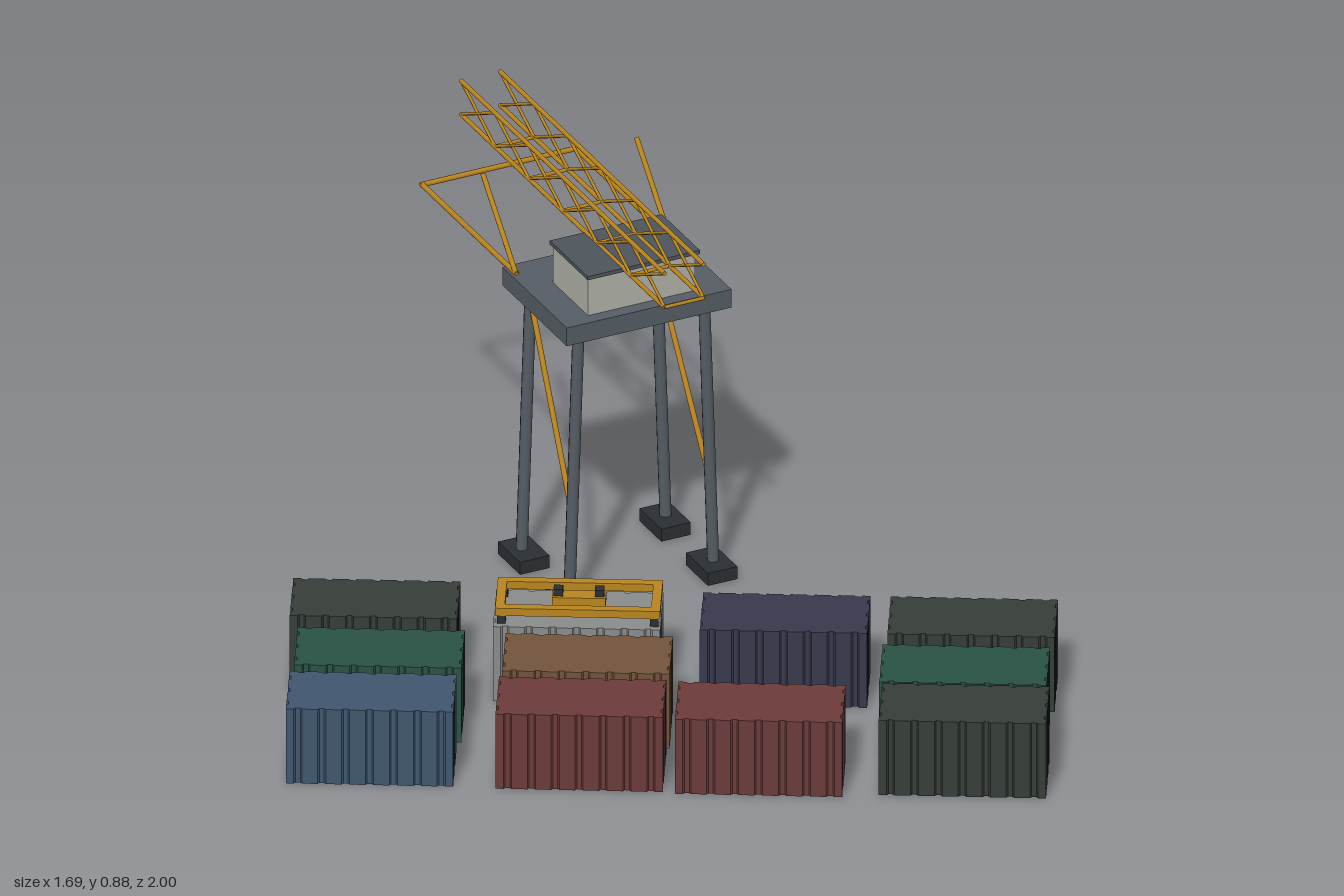
import * as THREE from 'three';

const mat = (c) => new THREE.MeshStandardMaterial({ color: c });
const M = {
  orange: mat(0xb9851f), steel: mat(0x555d64), dark: mat(0x2b2f33),
  cabin: mat(0xb0b2a8), roof: mat(0x4d545b), glass: mat(0x22385c),
};
const TURN = -0.506; // yaw shared by all containers
const CX = 0.222;    // crane centre line

function box(parent, name, size, pos, material) {
  const m = new THREE.Mesh(new THREE.BoxGeometry(...size), material);
  m.position.set(...pos);
  m.name = name;
  parent.add(m);
  return m;
}

// Round bar between two points
function bar(parent, name, a, b, r, material, sides = 8) {
  const p = new THREE.Vector3(...a), q = new THREE.Vector3(...b);
  const d = q.clone().sub(p);
  const m = new THREE.Mesh(new THREE.CylinderGeometry(r, r, d.length(), sides), material);
  m.position.copy(p).add(q).multiplyScalar(0.5);
  m.quaternion.setFromUnitVectors(new THREE.Vector3(0, 1, 0), d.normalize());
  m.name = name;
  parent.add(m);
  return m;
}

// Corrugated outline extruded upward
function containerGeometry() {
  const L = 0.357, W = 0.17, H = 0.18, d = 0.005;
  const pts = [];
  const side = (len, depth, count, angle) => {
    const pitch = len / count, c = Math.cos(angle), s = Math.sin(angle);
    for (let i = 0; i < count; i++) {
      const mid = -len / 2 + (i + 0.5) * pitch;
      for (const [o, inset] of [[-0.17, 0], [-0.1, d], [0.1, d], [0.17, 0]]) {
        const u = mid + o * pitch, v = -depth / 2 + inset;
        pts.push(new THREE.Vector2(u * c - v * s, u * s + v * c));
      }
    }
    const u = len / 2, v = -depth / 2;
    pts.push(new THREE.Vector2(u * c - v * s, u * s + v * c));
  };
  side(L, W, 7, 0);
  side(W, L, 3, Math.PI / 2);
  side(L, W, 7, Math.PI);
  side(W, L, 3, -Math.PI / 2);
  const g = new THREE.ExtrudeGeometry(new THREE.Shape(pts), { depth: H, bevelEnabled: false });
  g.rotateX(-Math.PI / 2);
  return g;
}

function buildContainers() {
  const yard = new THREE.Group();
  yard.name = 'containers';
  const geo = containerGeometry();
  const olive = mat(0x363d37), green = mat(0x2a5245), red = mat(0x6c3b3b);
  const blue = mat(0x40566e), brown = mat(0x72543c), navy = mat(0x383a4d), grey = mat(0x8a8c8c);
  const list = [
    [-0.455, -0.148, olive], [-0.546, 0.055, green], [-0.65, 0.225, blue],
    [-0.09, 0.09, grey], [-0.161, 0.277, brown], [-0.261, 0.446, red],
    [0.071, 0.637, red], [0.298, 0.3, navy], [0.648, 0.494, olive],
    [0.536, 0.68, green], [0.457, 0.836, olive],
  ];
  for (const [x, z, m] of list) {
    const c = new THREE.Mesh(geo, m);
    c.position.set(x, 0, z);
    c.rotation.y = TURN;
    c.name = 'container';
    yard.add(c);
  }
  return yard;
}

// Lifting frame resting on the grey container
function buildSpreader() {
  const s = new THREE.Group();
  s.name = 'spreader';
  const L = 0.352, W = 0.142, t = 0.02;
  for (const k of [-1, 1]) {
    box(s, 'spreaderSideBeam', [L, 0.018, t], [0, 0.209, k * (W - t) / 2], M.orange);
    box(s, 'spreaderEndBeam', [t, 0.018, W - 2 * t], [k * (L - t) / 2, 0.209, 0], M.orange);
    box(s, 'sheaveBlock', [0.02, 0.016, 0.022], [k * 0.044, 0.226, 0], M.dark);
    for (const j of [-1, 1])
      box(s, 'twistLock', [0.018, 0.022, 0.018], [k * 0.163, 0.19, j * 0.06], M.dark);
  }
  box(s, 'headBlock', [0.115, 0.018, 0.036], [0, 0.209, 0], M.orange);
  s.position.set(-0.089, 0, 0.092);
  s.rotation.y = TURN;
  return s;
}

function buildCrane() {
  const crane = new THREE.Group();
  crane.name = 'crane';
  const zFront = -0.235, zBack = -0.463;

  // Splayed legs, feet, braces, and raised stays on both sides
  for (const s of [-1, 1]) {
    const legX = (y) => CX + s * (0.172 - 0.022 * y / 0.65);
    for (const z of [zFront, zBack]) {
      bar(crane, 'leg', [legX(0.02), 0.02, z], [legX(0.66), 0.66, z], 0.0135, M.steel);
      box(crane, 'foot', [0.07, 0.03, 0.105], [CX + s * 0.168, 0.015, z + (z === zBack ? 0.004 : -0.001)], M.dark);
    }
    bar(crane, 'legBrace', [legX(0.22), 0.22, zFront], [legX(0.64), 0.64, zBack - 0.005], 0.0065, M.orange);
    const x = CX + s * 0.183;
    bar(crane, 'stay', [x, 0.69, zBack], [x, 0.86, -0.625], 0.006, M.orange);
    bar(crane, 'outriggerRail', [x, 0.695, zBack], [x, 0.695, -0.915], 0.006, M.orange);
  }
  bar(crane, 'outriggerEnd', [CX - 0.187, 0.695, -0.915], [CX + 0.187, 0.695, -0.915], 0.006, M.orange);

  // Deck and machinery cabin
  box(crane, 'deck', [0.392, 0.044, 0.308], [CX, 0.673, -0.352], M.steel);
  box(crane, 'cabin', [0.255, 0.092, 0.168], [0.219, 0.739, -0.312], M.cabin);
  box(crane, 'cabinRoof', [0.267, 0.009, 0.182], [0.221, 0.789, -0.312], M.roof);
  box(crane, 'cabinWindow', [0.18, 0.046, 0.006], [0.221, 0.748, -0.397], M.glass);

  // Boom: two lattice sides joined along the bottom
  const boom = new THREE.Group();
  boom.name = 'boom';
  const z0 = -0.027, z1 = -1, bays = 6, lo = 0.792, hi = 0.873;
  const step = (z1 - z0) / bays, xs = [0.174, 0.267];
  for (const x of xs) {
    for (const y of [lo, hi]) bar(boom, 'boomChord', [x, y, z0], [x, y, z1], 0.005, M.orange);
    for (let i = 0; i < bays; i++) {
      const a = z0 + i * step, b = a + step;
      bar(boom, 'boomLacing', [x, lo, a], [x, hi, b], 0.0035, M.orange, 6);
      bar(boom, 'boomLacing', [x, hi, a], [x, lo, b], 0.0035, M.orange, 6);
    }
  }
  for (let i = 0; i < bays; i++) {
    const z = z0 + i * step;
    bar(boom, 'boomCrossBar', [xs[0], lo, z], [xs[1], lo, z], 0.004, M.orange, 6);
  }
  crane.add(boom);
  return crane;
}

export function createModel() {
  const model = new THREE.Group();
  model.name = 'containerYard';
  model.add(buildContainers(), buildSpreader(), buildCrane());
  return model;
}
